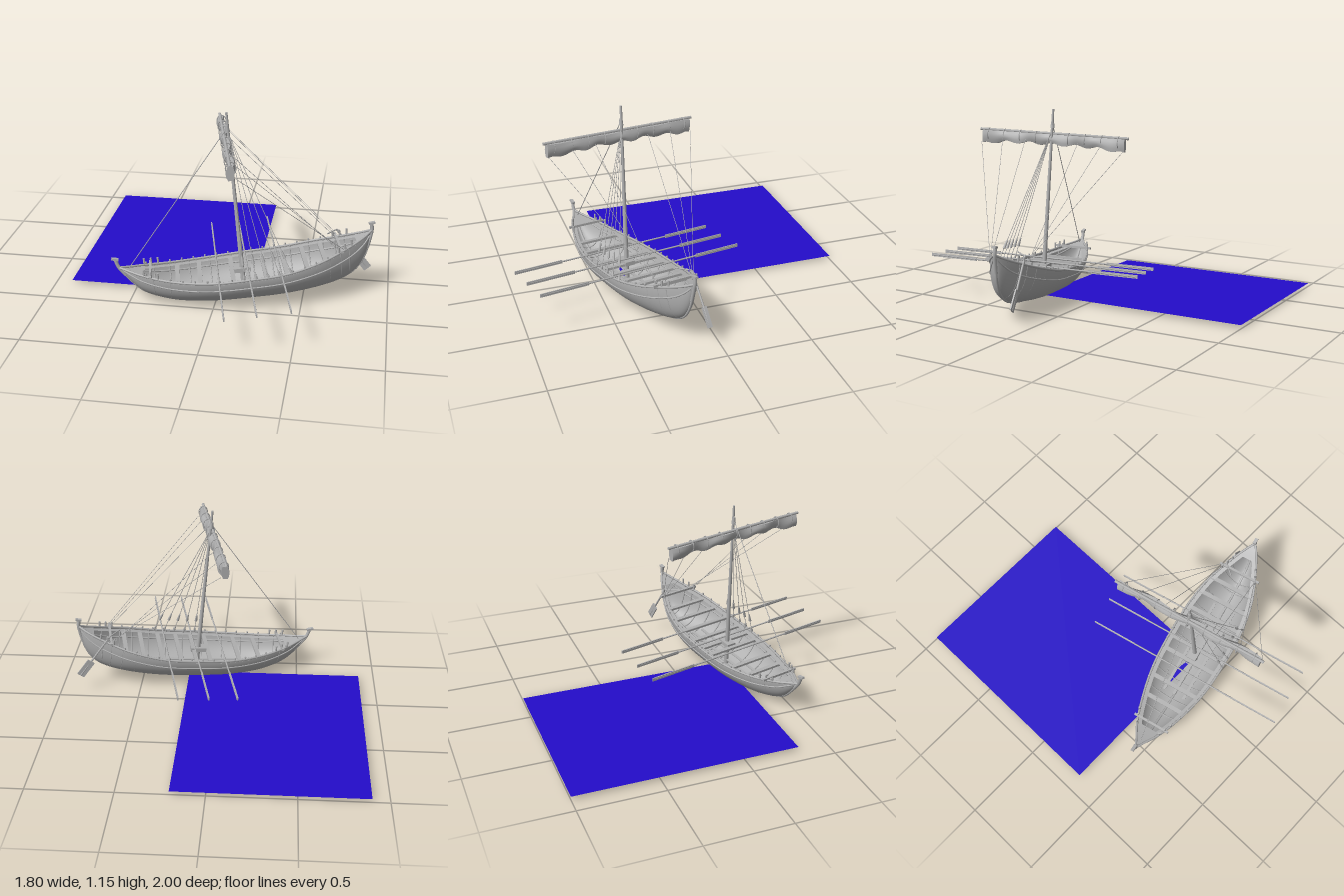
import * as THREE from 'three';

const V = (x, y, z = 0) => new THREE.Vector3(x, y, z);

export function createModel() {
  const timber = new THREE.MeshStandardMaterial({ color: 0xb0b0b0, side: THREE.DoubleSide });
  timber.name = 'grey timber';
  const sea = new THREE.MeshStandardMaterial({ color: 0x240cca, side: THREE.DoubleSide });
  sea.name = 'blue water';

  const model = new THREE.Group();
  model.name = 'sailingShip';

  // Flat sheet of water
  const water = new THREE.Mesh(new THREE.PlaneGeometry(1.1, 1.32), sea);
  water.name = 'waterSheet';
  water.rotation.x = -Math.PI / 2;
  water.position.set(-0.35, 0.015, -0.34);
  model.add(water);

  // Ship frame: bow on -x, stern on +x, turned, pitched and slightly heeled
  const ship = new THREE.Group();
  ship.name = 'ship';
  ship.rotation.set(-0.035, 0.222, 0.095, 'YZX');
  ship.position.set(0.16, 0.03, 0.33);
  model.add(ship);

  const add = (name, geometry, parent = ship) => {
    const mesh = new THREE.Mesh(geometry, timber);
    mesh.name = name;
    parent.add(mesh);
    return mesh;
  };
  const rod = (name, a, b, r0, r1 = r0, sides = 8) => {
    const mesh = add(name, new THREE.CylinderGeometry(r1, r0, a.distanceTo(b), sides));
    mesh.position.copy(a).lerp(b, 0.5);
    mesh.quaternion.setFromUnitVectors(V(0, 1, 0), b.clone().sub(a).normalize());
    return mesh;
  };
  const box = (name, w, h, d, x, y, z) => {
    const mesh = add(name, new THREE.BoxGeometry(w, h, d));
    mesh.position.set(x, y, z);
    return mesh;
  };
  const tube = (name, points, r, n = 40) =>
    add(name, new THREE.TubeGeometry(new THREE.CatmullRomCurve3(points), n, r, 8));
  // Smooth surface through a grid of points f(u, v)
  const loft = (name, f, nu, nv) => {
    const pos = [], idx = [];
    for (let i = 0; i <= nu; i++) {
      for (let j = 0; j <= nv; j++) {
        pos.push(...f(i / nu, j / nv).toArray());
        if (i < nu && j < nv) {
          const a = i * (nv + 1) + j, b = a + nv + 1;
          idx.push(a, a + 1, b, b, a + 1, b + 1);
        }
      }
    }
    const g = new THREE.BufferGeometry();
    g.setAttribute('position', new THREE.Float32BufferAttribute(pos, 3));
    g.setIndex(idx);
    g.computeVertexNormals();
    return add(name, g);
  };

  // Hull lines: matching keel and rail curves
  const keelPts = [[-0.70, 0.235], [-0.66, 0.17], [-0.58, 0.085], [-0.42, 0.02], [-0.2, -0.008], [0.04, -0.014],
    [0.25, -0.014], [0.45, 0], [0.58, 0.025], [0.67, 0.075], [0.73, 0.16], [0.765, 0.27]].map(p => V(...p));
  const railPts = [[-0.71, 0.25, 0.004], [-0.66, 0.235, 0.03], [-0.58, 0.215, 0.075], [-0.42, 0.185, 0.135],
    [-0.2, 0.168, 0.185], [0.04, 0.17, 0.2], [0.25, 0.178, 0.195], [0.45, 0.21, 0.16], [0.58, 0.24, 0.11],
    [0.67, 0.265, 0.068], [0.73, 0.285, 0.035], [0.775, 0.305, 0.004]].map(p => V(...p));
  const keel = new THREE.CatmullRomCurve3(keelPts), rail = new THREE.CatmullRomCurve3(railPts);
  const hullPoint = (t, s) => {
    const k = keel.getPoint(t), r = rail.getPoint(t), a = Math.abs(s) * Math.PI / 2;
    const w = 1 - Math.cos(a);
    return V(k.x + (r.x - k.x) * w, k.y + (r.y - k.y) * w, r.z * Math.sin(a) * Math.sign(s));
  };
  // Rail point at ship position x
  const railAt = (x, side = 1) => {
    let lo = 0, hi = 1;
    for (let i = 0; i < 24; i++) {
      const m = (lo + hi) / 2;
      if (rail.getPoint(m).x < x) lo = m; else hi = m;
    }
    const p = rail.getPoint(lo);
    p.z *= side;
    return p;
  };

  loft('hullShell', (u, v) => hullPoint(u, 1 - v * 2), 60, 32);

  // Keel with raised bow and stern posts
  tube('keel', keelPts, 0.008, 70);
  tube('bowPost', [V(-0.68, 0.2), V(-0.71, 0.245), V(-0.722, 0.275), V(-0.728, 0.305)], 0.011, 16);
  tube('sternPost', [V(0.745, 0.2), V(0.768, 0.27), V(0.778, 0.31), V(0.777, 0.345)], 0.011, 16);
  box('bowFinial', 0.042, 0.012, 0.02, -0.73, 0.306, 0).rotation.z = -0.25;
  box('sternFinial', 0.036, 0.012, 0.02, 0.78, 0.35, 0).rotation.z = 0.1;

  for (const side of [1, -1]) {
    // Rails, rubbing strake and side walkway
    tube('topRail', railPts.map(p => V(p.x, p.y, p.z * side)), 0.007, 60);
    const strake = [];
    for (let i = 0; i <= 20; i++) strake.push(hullPoint(0.03 + i * 0.047, 0.8 * side));
    tube('rubbingStrake', strake, 0.005, 60);
    loft('sideLedge', (u, v) => {
      const p = rail.getPoint(0.08 + u * 0.84);
      return V(p.x, p.y - 0.012, side * Math.max(0, p.z - v * 0.03));
    }, 40, 1);

    // Thole pins along the rail
    for (let i = 0; i < 17; i++) {
      const p = railAt(-0.56 + i * 0.07, side);
      rod('tholePin', p, V(p.x, p.y + 0.018, p.z), 0.005);
    }
    // Taller posts near bow and stern
    for (const x of [-0.57, -0.53, -0.49, 0.56, 0.6, 0.64]) {
      const p = railAt(x, side);
      rod('mooringPost', p, V(p.x, p.y + 0.04, p.z), 0.006);
    }
    // Sheets from the yard to the stern quarter
    for (const z of [0.46, 0.32, 0.17]) {
      rod('sheet', V(0, z > 0.4 ? 0.89 : 0.92, z * side), railAt(0.56 + z * 0.08, side), 0.0015, 0.0015, 5);
    }
  }

  // Inner ribs
  for (let i = 0; i < 12; i++) {
    const t = 0.22 + i * 0.05, pts = [];
    for (let j = -8; j <= 8; j++) {
      const p = hullPoint(t, j / 8);
      p.z *= 0.98;
      p.y += 0.003;
      pts.push(p);
    }
    tube('rib', pts, 0.004, 24);
  }
  // Lengthwise floor boards
  for (const z of [-0.07, 0, 0.07]) box('floorBoard', 0.66, 0.006, 0.018, 0.05, 0.03, z);

  // End decks
  const endDeck = (name, t0, t1) => loft(name, (u, v) => {
    const p = rail.getPoint(t0 + (t1 - t0) * u);
    return V(p.x, p.y - 0.006, p.z * (1 - 2 * v));
  }, 12, 2);
  endDeck('bowDeck', 0, 0.19);
  endDeck('sternDeck', 0.83, 1);

  // Cross beams, with projecting ones at both ends
  for (const x of [-0.38, -0.25, -0.06, 0.03, 0.13, 0.25, 0.37, 0.48]) {
    const p = railAt(x);
    box('crossBeam', 0.026, 0.014, p.z * 2 - 0.01, x, p.y - 0.02, 0);
  }
  box('bowBeam', 0.014, 0.014, 0.24, -0.535, 0.215, 0);
  box('sternBeam', 0.014, 0.014, 0.28, 0.575, 0.25, 0);
  box('mastStep', 0.1, 0.025, 0.06, 0, 0.155, 0);

  // Mast and yard
  rod('mast', V(0, 0, 0), V(0, 1.115, 0), 0.015, 0.007, 14);
  rod('mastBlock', V(-0.004, 1.0, 0), V(-0.004, 1.04, 0), 0.014, 0.009);
  rod('yard', V(-0.025, 0.965, -0.48), V(-0.025, 0.965, 0.48), 0.009);

  // Furled sail with scalloped lower edge
  const sailGeo = new THREE.BoxGeometry(0.036, 0.06, 0.92, 3, 4, 72);
  const sp = sailGeo.attributes.position;
  for (let i = 0; i < sp.count; i++) {
    const z = sp.getZ(i), y = sp.getY(i), drop = 0.5 - y / 0.06;
    const wave = Math.cos(z * 42);
    sp.setY(i, y + drop * (0.008 * wave - 0.025 * Math.pow(Math.abs(z) / 0.46, 4)));
    sp.setX(i, sp.getX(i) * (0.8 + 0.5 * Math.sin(drop * Math.PI)) + 0.008 * Math.sin(z * 21 + drop * 2));
  }
  sailGeo.computeVertexNormals();
  add('furledSail', sailGeo).position.set(-0.02, 0.93, 0);
  for (let i = -4; i <= 4; i++) {
    const band = add('sailTie', new THREE.TorusGeometry(0.028, 0.003, 6, 16));
    band.scale.y = 1.25;
    band.position.set(-0.02, 0.938, i * 0.105);
  }

  // Forestay and shrouds with deadeyes
  rod('forestay', V(-0.66, 0.235, 0), V(0, 1.03, 0), 0.0025, 0.0025, 6);
  for (let i = 0; i < 5; i++) {
    const foot = railAt(0.0 + i * 0.068), head = V(0, 0.99, 0);
    rod('shroud', foot, head, 0.002, 0.002, 6);
    const a = foot.clone().lerp(head, 0.11), b = foot.clone().lerp(head, 0.17);
    rod('deadeye', a, b, 0.009, 0.005);
    rod('lowerDeadeye', foot, foot.clone().lerp(head, 0.04), 0.008, 0.005);
  }

  // Oars laid across the hull, bladed at each end
  for (const x of [-0.145, 0.03, 0.215]) {
    rod('oarShaft', V(x, 0.182, -0.64), V(x, 0.182, 0.64), 0.005);
    for (const side of [1, -1]) box('oarBlade', 0.007, 0.02, 0.3, x, 0.182, side * 0.505);
  }

  // Steering oar on the far quarter
  const top = V(0.585, 0.29, -0.1), tip = V(0.757, 0.01, -0.11);
  rod('steeringOarShaft', top, tip, 0.006);
  const blade = box('steeringOarBlade', 0.05, 0.12, 0.008, 0, 0, 0);
  blade.position.copy(top).lerp(tip, 0.82);
  blade.rotation.z = Math.atan2(tip.x - top.x, top.y - tip.y);
  rod('tiller', top, V(0.52, 0.3, -0.03), 0.004);

  return model;
}
